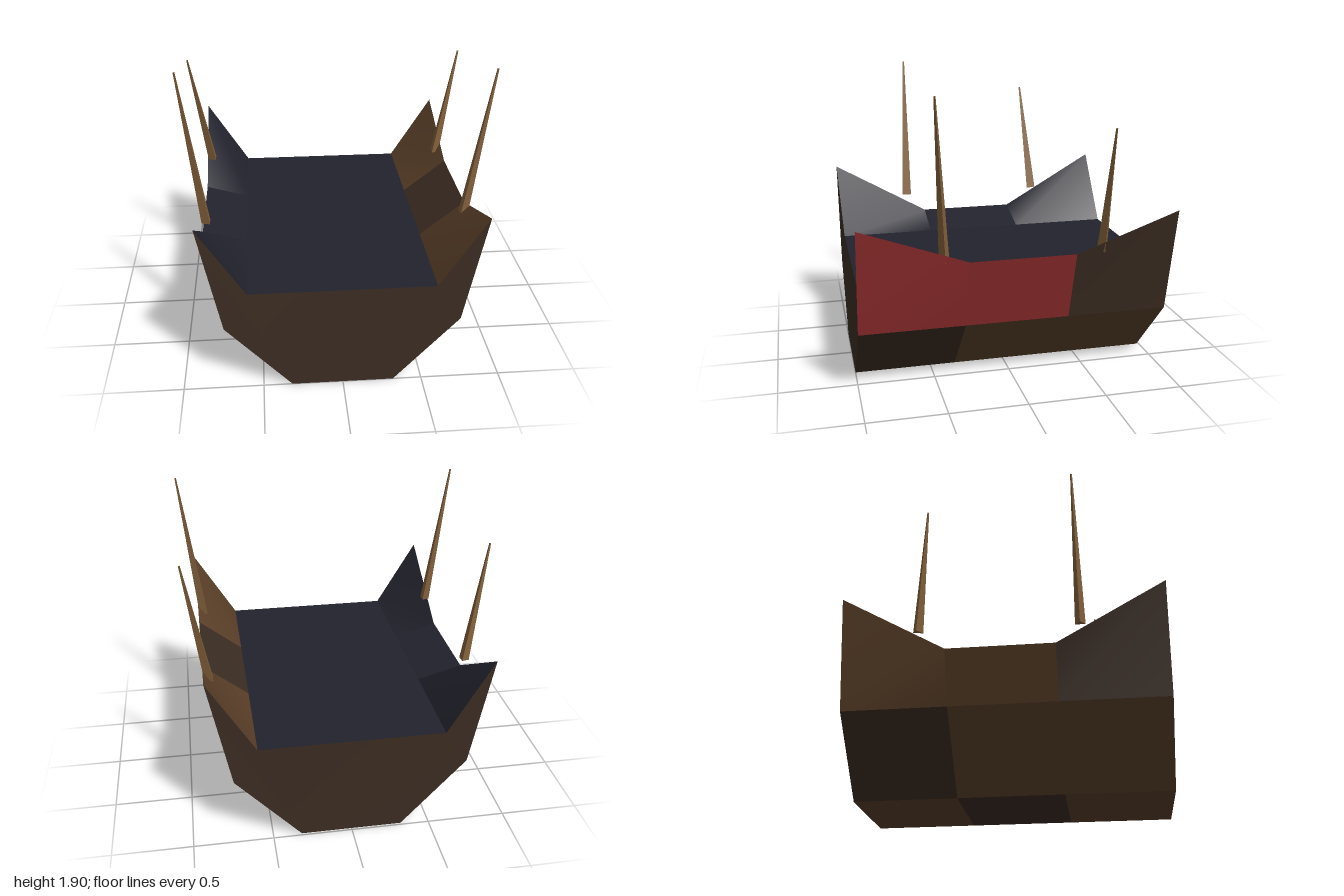
import * as THREE from 'three';

const mat = (name, color) => {
  const m = new THREE.MeshStandardMaterial({ color });
  m.name = name;
  return m;
};

export function createModel() {
  const red = mat('red paint', 0x902c2d);
  const navy = mat('navy deck', 0x22222d);
  const dark = mat('dark timber', 0x3b2c22);
  const wood = mat('brown timber', 0x5a3f28);
  const pole = mat('pale timber', 0x86633d);

  const model = new THREE.Group();
  model.name = 'hull section';
  const add = (name, geometry, material) => {
    const mesh = new THREE.Mesh(geometry, material);
    mesh.name = name;
    model.add(mesh);
    return mesh;
  };

  // Cross-section, anticlockwise seen from the front; the rails dip amidships
  const section = (leftTop, rightTop) => [
    [-0.32, 0], [0.32, 0], [0.73, 0.44], [0.87, leftTop],
    [0.58, 0.67], [-0.58, 0.67], [-0.87, rightTop], [-0.73, 0.44],
  ];
  const isDeck = ([x, y]) => Math.abs(x) === 0.58 && y === 0.67;
  const end = section(1.135, 1.135);
  const mid = section(0.9, 0.755);
  const stations = [
    end.map((p) => [...p, isDeck(p) ? -1 : -0.985]),
    mid.map((p) => [...p, -0.33]),
    mid.map((p) => [...p, 0.335]),
    end.map((p) => [...p, isDeck(p) ? 0.98 : 1]),
  ];

  // Planking strips, each coloured from back to front
  const strips = [
    ['bottom', wood, dark, wood],
    ['leftBilge', wood, wood, dark],
    ['leftSide', dark, red, red],
    ['leftBulwark', wood, dark, wood],
    ['deck', navy, navy, navy],
    ['rightBulwark', navy, navy, navy],
    ['rightSide', wood, wood, dark],
    ['rightBilge', dark, wood, wood],
  ];
  strips.forEach(([name, ...colors], i) => {
    const j = (i + 1) % strips.length;
    colors.forEach((color, k) => {
      const back = stations[k], front = stations[k + 1];
      const g = new THREE.BufferGeometry();
      const corners = [front[i], back[i], back[j], front[j]].flat();
      g.setAttribute('position', new THREE.Float32BufferAttribute(corners, 3));
      g.setIndex([0, 1, 2, 0, 2, 3]);
      g.computeVertexNormals();
      add(name + ['Back', 'Middle', 'Front'][k], g, color);
    });
  });

  // End walls
  const endWall = (name, deckZ, edgeZ) => {
    const g = new THREE.ShapeGeometry(new THREE.Shape(end.map((p) => new THREE.Vector2(...p))));
    const pos = g.attributes.position;
    for (let i = 0; i < pos.count; i++) {
      const onDeck = Math.abs(Math.abs(pos.getX(i)) - 0.58) < 0.001;
      pos.setZ(i, onDeck ? deckZ : edgeZ);
    }
    g.computeVertexNormals();
    return add(name, g, dark);
  };
  endWall('frontWall', 0.98, 1);
  endWall('backWall', 1, 0.985).rotation.y = Math.PI;

  // Tapered three-sided posts leaning outwards from the rails
  const posts = [
    ['leftFrontPost', [0.825, 0.9, 0.48], [0.96, 1.9, 0.545]],
    ['rightFrontPost', [-0.825, 0.9, 0.48], [-0.96, 1.9, 0.46]],
    ['leftBackPost', [0.825, 0.9, -0.51], [0.96, 1.68, -0.52]],
    ['rightBackPost', [-0.825, 0.9, -0.51], [-0.96, 1.68, -0.45]],
  ];
  const up = new THREE.Vector3(0, 1, 0);
  for (const [name, from, to] of posts) {
    const a = new THREE.Vector3(...from), b = new THREE.Vector3(...to);
    const dir = b.clone().sub(a);
    const g = new THREE.CylinderGeometry(0.007, 0.037, dir.length(), 3).toNonIndexed();
    g.computeVertexNormals();
    g.rotateY(from[0] > 0 ? Math.PI / 2 : -Math.PI / 2);
    const mesh = add(name, g, pole);
    mesh.quaternion.setFromUnitVectors(up, dir.normalize());
    mesh.position.copy(a).add(b).multiplyScalar(0.5);
  }
  return model;
}
